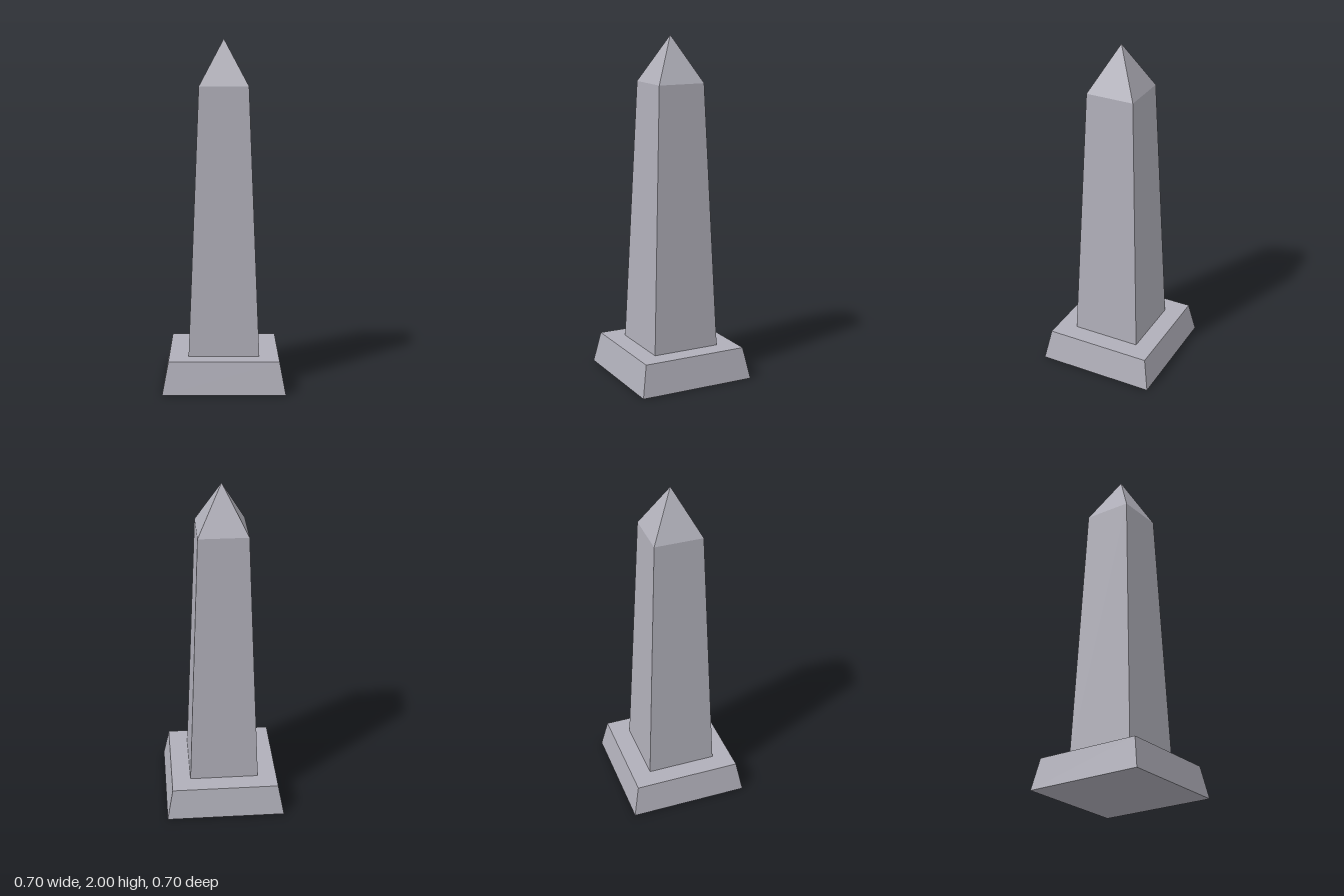
import * as THREE from 'three';

// Square tapering block given by its half widths and its bottom and top heights
function taperedBlock(name, bottomHalf, topHalf, y0, y1, openEnded, material) {
  const geometry = new THREE.CylinderGeometry(
    topHalf * Math.SQRT2, bottomHalf * Math.SQRT2, y1 - y0, 4, 1, openEnded, Math.PI / 4);
  geometry.translate(0, (y0 + y1) / 2, 0);
  const mesh = new THREE.Mesh(geometry, material);
  mesh.name = name;
  return mesh;
}

export function createModel() {
  const model = new THREE.Group();
  model.name = 'obelisk';

  const stone = new THREE.MeshStandardMaterial({ color: 0xb0afb9, flatShading: true });
  stone.name = 'grey stone';

  model.add(
    // Sloped plinth, closed above and below
    taperedBlock('plinth', 0.351, 0.316, 0, 0.185, false, stone),
    // Tall tapering shaft
    taperedBlock('shaft', 0.204, 0.142, 0.185, 1.733, true, stone),
    // Pyramid tip
    taperedBlock('pyramidTip', 0.142, 0, 1.733, 2, true, stone),
  );
  return model;
}
